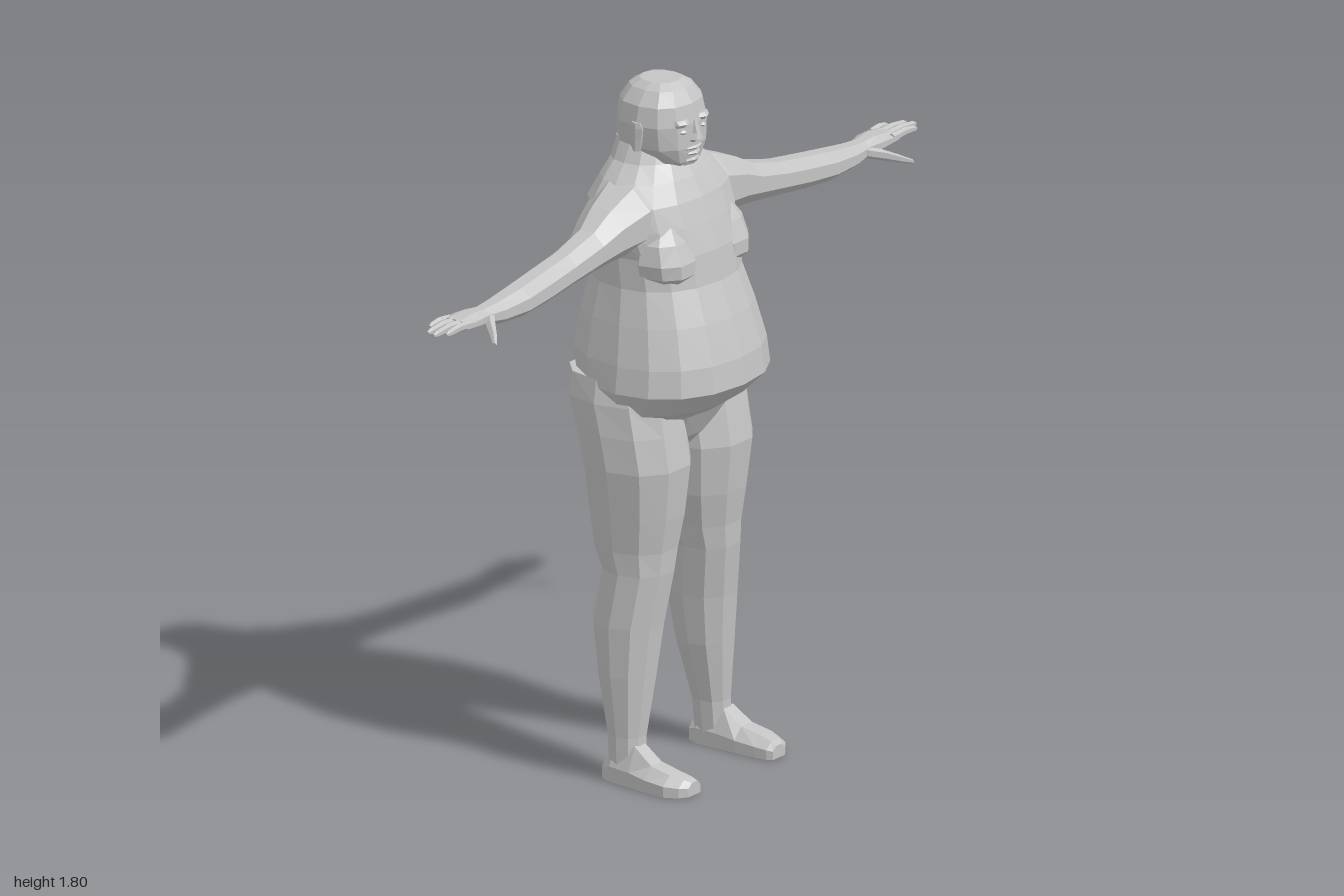
import * as THREE from 'three';

const skin = new THREE.MeshStandardMaterial({ color: 0xc4c4c4 });
skin.name = 'plain grey';

// Faceted skin over a list of rings, closed at both ends
function loft(rings) {
  const tris = [];
  const n = rings[0].length;
  const middle = (r) => r.reduce((s, p) => s.add(p), new THREE.Vector3()).divideScalar(n);
  for (let i = 0; i < rings.length - 1; i++) {
    for (let j = 0; j < n; j++) {
      const k = (j + 1) % n;
      const [a, b, c, d] = [rings[i][j], rings[i][k], rings[i + 1][k], rings[i + 1][j]];
      tris.push([a, b, c], [a, c, d]);
    }
  }
  const first = rings[0], last = rings[rings.length - 1];
  const m0 = middle(first), m1 = middle(last);
  for (let j = 0; j < n; j++) {
    const k = (j + 1) % n;
    tris.push([m0, first[k], first[j]], [m1, last[j], last[k]]);
  }
  // The sign of the volume tells which way the faces look
  const volume = tris.reduce((s, [a, b, c]) => s + a.dot(b.clone().cross(c)), 0);
  if (volume < 0) tris.forEach((t) => t.reverse());
  const geo = new THREE.BufferGeometry().setFromPoints(tris.flat());
  geo.computeVertexNormals();
  return geo;
}

// Level ring: x range, front and back z, and the z where it is widest
function levelRing(y, x0, x1, zf, zb, zc, n, power = 0.9) {
  const cx = (x0 + x1) / 2, hw = (x1 - x0) / 2;
  const bend = (v) => Math.sign(v) * Math.abs(v) ** power;
  return Array.from({ length: n }, (_, i) => {
    const t = (i / n) * Math.PI * 2;
    const c = Math.abs(Math.cos(t)) < 1e-6 ? 0 : bend(Math.cos(t));
    const s = Math.abs(Math.sin(t)) < 1e-6 ? 0 : bend(Math.sin(t));
    return new THREE.Vector3(cx + hw * c, y, zc + s * (s > 0 ? zf - zc : zc - zb));
  });
}

// Ring across a limb that runs sideways
function crossRing(x, top, bottom, zf, zb, n = 8) {
  return Array.from({ length: n }, (_, i) => {
    const t = ((i + 0.5) / n) * Math.PI * 2;
    return new THREE.Vector3(x, (top + bottom) / 2 + Math.sin(t) * (top - bottom) * 0.53,
      (zf + zb) / 2 + Math.cos(t) * (zf - zb) * 0.53);
  });
}

export function createModel() {
  const model = new THREE.Group();
  model.name = 'figure';

  function add(name, rings, parent = model) {
    const mesh = new THREE.Mesh(loft(rings), skin);
    mesh.name = name;
    parent.add(mesh);
    return mesh;
  }

  // Torso with heavy belly, from crotch to nape: y, half width, front, back, widest z
  add('torso', [
    [0.82, 0.03, 0.03, -0.05, 0], [0.88, 0.11, 0.085, -0.11, 0],
    [0.95, 0.19, 0.125, -0.165, 0], [0.98, 0.225, 0.17, -0.185, 0.01],
    [1.04, 0.252, 0.233, -0.21, 0.02], [1.11, 0.243, 0.225, -0.235, 0.02],
    [1.21, 0.222, 0.195, -0.215, 0.01], [1.30, 0.2, 0.16, -0.185, 0],
    [1.38, 0.2, 0.148, -0.18, -0.01], [1.45, 0.215, 0.125, -0.18, -0.02],
    [1.51, 0.215, 0.103, -0.178, -0.03], [1.56, 0.17, 0.075, -0.155, -0.04],
    [1.60, 0.122, 0.05, -0.14, -0.05], [1.65, 0.095, 0.03, -0.136, -0.05],
  ].map(([y, w, zf, zb, zc]) => levelRing(y, -w, w, zf, zb, zc, 16)));

  // Head: y, half width, front, back
  add('head', [
    [1.585, 0.045, 0.06, -0.1], [1.60, 0.076, 0.076, -0.13],
    [1.64, 0.104, 0.083, -0.136], [1.70, 0.112, 0.082, -0.13],
    [1.75, 0.102, 0.072, -0.125], [1.785, 0.074, 0.05, -0.105],
    [1.80, 0.05, 0.025, -0.08],
  ].map(([y, w, zf, zb]) => levelRing(y, -w, w, zf, zb, -0.02, 12, 0.85)));

  // Face: nose, lips and chin
  add('nose', [
    [1.71, 0.009, 0.083], [1.675, 0.014, 0.095], [1.66, 0.024, 0.1], [1.652, 0.02, 0.085],
  ].map(([y, w, zf]) => levelRing(y, -w, w, zf, 0.06, 0.07, 6)));
  for (const [name, y, w, h, z] of [
    ['upperLip', 1.637, 0.04, 0.006, 0.09], ['lowerLip', 1.622, 0.032, 0.006, 0.088],
    ['chin', 1.603, 0.034, 0.012, 0.082],
  ]) {
    add(name, [-1, 0, 1].map((s) =>
      levelRing(y + s * h, -w, w, s ? z - 0.008 : z, 0.02, 0.05, 8)));
  }

  for (const side of [1, -1]) {
    const half = new THREE.Group();
    half.name = side > 0 ? 'leftSide' : 'rightSide';
    model.add(half);
    const put = (name, rings) => {
      rings.forEach((r) => r.forEach((p) => { p.x *= side; }));
      return add(name, rings, half);
    };

    // Brow, eye and ear
    put('brow', [1.698, 1.707, 1.716].map((y, i) =>
      levelRing(y, 0.012, 0.07, i === 1 ? 0.087 : 0.078, 0.03, 0.05, 8)));
    put('eye', [1.678, 1.684, 1.69].map((y, i) =>
      levelRing(y, 0.022, 0.056, i === 1 ? 0.083 : 0.076, 0.03, 0.05, 8)));
    put('ear', [[1.635, 0.008], [1.66, 0.016], [1.695, 0.022], [1.71, 0.012]].map(([y, d]) =>
      levelRing(y, 0.09, 0.117, -0.02 + d, -0.025 - d, -0.02, 6)));

    // Sagging chest
    put('breast', [
      [1.315, 0.05, 0.125], [1.335, 0.078, 0.147], [1.37, 0.085, 0.147],
      [1.42, 0.075, 0.125], [1.46, 0.04, 0.1],
    ].map(([y, w, zf]) => levelRing(y, 0.11 - w, 0.11 + w, zf, 0.02, 0.05, 10)));

    // Arm from inside the shoulder to the wrist: x, top, bottom, front, back
    put('arm', [
      [0.08, 1.59, 1.41, 0.05, -0.13], [0.17, 1.56, 1.39, 0.07, -0.12],
      [0.26, 1.525, 1.388, 0.055, -0.09], [0.33, 1.488, 1.384, 0.045, -0.062],
      [0.44, 1.46, 1.372, 0.042, -0.052], [0.54, 1.445, 1.36, 0.045, -0.05],
      [0.64, 1.432, 1.355, 0.05, -0.045], [0.73, 1.42, 1.36, 0.042, -0.037],
      [0.80, 1.415, 1.375, 0.033, -0.027],
    ].map((r) => crossRing(...r)));

    // Palm, fingers and thumb
    put('palm', [
      [0.78, 1.415, 1.375, 0.032, -0.027], [0.83, 1.42, 1.38, 0.045, -0.04],
      [0.895, 1.415, 1.39, 0.046, -0.042],
    ].map((r) => crossRing(...r)));
    [[0.035, 0.037, 0.975], [0.013, 0.016, 1.0], [-0.009, -0.008, 0.992], [-0.03, -0.034, 0.95]]
      .forEach(([z0, z1, tip]) => put('finger', [
        [0.875, z0, 0.011, 1.404], [(0.875 + tip) / 2, (z0 + z1) / 2, 0.01, 1.408],
        [tip - 0.012, z1, 0.008, 1.405], [tip, z1, 0.004, 1.403],
      ].map(([x, z, r, y]) => crossRing(x, y + r, y - r, z + r, z - r, 6))));
    put('thumb', [
      [0.775, 1.392, 0.02, 0.018], [0.81, 1.382, 0.05, 0.018],
      [0.84, 1.37, 0.082, 0.013], [0.866, 1.36, 0.106, 0.007],
    ].map(([x, y, z, r]) => crossRing(x, y + r * 0.8, y - r * 0.8, z + r, z - r, 6)));

    // Leg: y, inner x, outer x, front, back
    put('leg', [
      [1.06, 0.03, 0.238, 0.09, -0.19], [1.0, 0.005, 0.254, 0.105, -0.195],
      [0.92, 0, 0.258, 0.12, -0.165], [0.83, 0, 0.257, 0.135, -0.143],
      [0.70, 0.015, 0.24, 0.12, -0.13], [0.61, 0.035, 0.228, 0.105, -0.117],
      [0.55, 0.05, 0.224, 0.1, -0.085], [0.41, 0.068, 0.237, 0.08, -0.105],
      [0.28, 0.088, 0.235, 0.066, -0.083], [0.12, 0.127, 0.222, 0.05, -0.05],
      [0.02, 0.137, 0.222, 0.05, -0.046],
    ].map(([y, xi, xo, zf, zb]) => levelRing(y, xi, xo, zf, zb, (zf + zb) / 2, 10)));

    // Foot, heel to toe: z, inner x, outer x, side height, top height
    put('foot', [
      [-0.052, 0.15, 0.21, 0.03, 0.05], [-0.02, 0.137, 0.224, 0.04, 0.09],
      [0.045, 0.137, 0.23, 0.038, 0.1], [0.1, 0.136, 0.238, 0.032, 0.062],
      [0.16, 0.138, 0.24, 0.028, 0.05], [0.195, 0.142, 0.222, 0.025, 0.042],
      [0.21, 0.15, 0.2, 0.022, 0.034],
    ].map(([z, xi, xo, h, top]) => {
      const w = xo - xi;
      return [[xi, 0], [xo, 0], [xo, h], [xo - w * 0.28, top], [xi + w * 0.28, top], [xi, h]]
        .map(([x, y]) => new THREE.Vector3(x, y, z));
    }));
  }

  return model;
}
